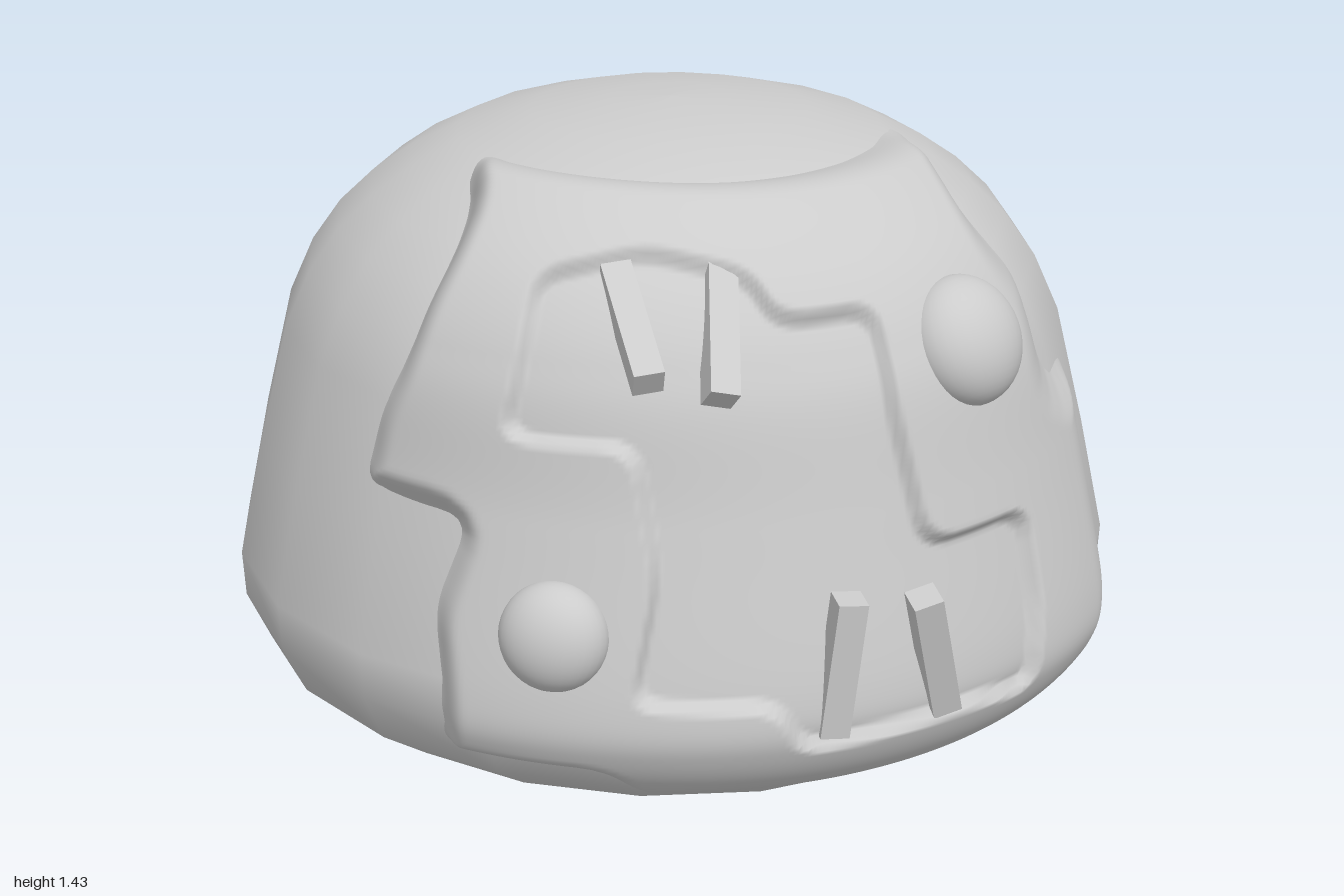
import * as THREE from 'three';

const V2 = (x, y) => new THREE.Vector2(x, y);
const { smoothstep, lerp } = THREE.MathUtils;
const CENTRE_Z = -0.035;
const material = new THREE.MeshStandardMaterial({ color: 0xcccccc });

// Half outline of the dome, radius and height, from bottom to top
const PROFILE = [[0, 0], [0.24, 0.012], [0.46, 0.047], [0.66, 0.1], [0.79, 0.165], [0.91, 0.25], [0.96, 0.36],
  [0.965, 0.46], [0.91, 0.71], [0.845, 0.97], [0.79, 1.09], [0.725, 1.18], [0.65, 1.25], [0.565, 1.308],
  [0.46, 1.36], [0.3, 1.404], [0.13, 1.424], [0, 1.428]].map(p => V2(...p));

// Edge of the raised front panel; its top and bottom fade out instead
const PANEL = [[-0.47, 1.5], [-0.47, 1.33], [-0.6, 1.16], [-0.71, 0.96], [-0.76, 0.79], [-0.58, 0.785],
  [-0.65, 0.6], [-0.645, 0.29], [-0.35, 0.285], [-0.27, 0.17], [-0.25, 0], [0.84, 0], [0.89, 0.45],
  [0.81, 0.92], [0.7, 0.95], [0.66, 1.14], [0.55, 1.27], [0.48, 1.5]];

// Edge of the sunken area in the panel
const RECESS = [[-0.43, 1.27], [-0.22, 1.315], [-0.02, 1.27], [0.02, 1.19], [0.23, 1.19], [0.25, 1.0], [0.31, 0.73],
  [0.56, 0.73], [0.59, 0.52], [0.575, 0.35], [0.4, 0.375], [0.02, 0.355], [-0.02, 0.46], [-0.31, 0.47],
  [-0.25, 0.72], [-0.28, 0.97], [-0.52, 0.97]];

// Closed outline with rounded corners
function roundedOutline(list, radius) {
  const path = new THREE.Path();
  const n = list.length;
  list.forEach((corner, i) => {
    const c = V2(...corner);
    const toward = j => {
      const d = V2(...list[(j + n) % n]).sub(c);
      return d.setLength(Math.min(radius, d.length() * 0.45)).add(c);
    };
    const a = toward(i - 1), b = toward(i + 1);
    if (i === 0) path.moveTo(a.x, a.y); else path.lineTo(a.x, a.y);
    path.quadraticCurveTo(c.x, c.y, b.x, b.y);
  });
  path.closePath();
  return path.getPoints(4);
}

// Distance to an outline, positive inside
function insideDistance(outline, x, y) {
  let best = Infinity, inside = false;
  for (let i = 0, j = outline.length - 1; i < outline.length; j = i++) {
    const a = outline[j], b = outline[i];
    const dx = b.x - a.x, dy = b.y - a.y;
    const t = Math.min(1, Math.max(0, ((x - a.x) * dx + (y - a.y) * dy) / (dx * dx + dy * dy || 1)));
    best = Math.min(best, Math.hypot(x - a.x - t * dx, y - a.y - t * dy));
    if ((a.y > y) !== (b.y > y) && x < a.x + (y - a.y) / dy * dx) inside = !inside;
  }
  return inside ? best : -best;
}

// Panel that follows the dome, raised inside its edge and sunk again in the recess
function panelGeometry() {
  const geometry = new THREE.PlaneGeometry(1, 1, 240, 190);
  const pos = geometry.attributes.position, uv = geometry.attributes.uv;
  const curve = new THREE.SplineCurve(PROFILE);
  const edge = roundedOutline(PANEL, 0.05), recess = roundedOutline(RECESS, 0.06);
  for (let i = 0; i < pos.count; i++) {
    const angle = lerp(-1.15, 1.35, uv.getX(i));
    const u = lerp(0.24, 0.93, uv.getY(i));
    const p = curve.getPointAt(u), t = curve.getTangentAt(u);
    const s = Math.sin(angle), c = Math.cos(angle);
    const x = p.x * s;
    const at = d => [(p.x + t.y * d) * s, p.y - t.x * d, (p.x + t.y * d) * c + CENTRE_Z];
    const left = 1 - smoothstep(x, -0.45, 0.2);
    const raise = 0.04 + smoothstep(p.y, 0.8, 1.25) * (0.02 + 0.035 * left);
    const soft = 0.06 + 0.08 * smoothstep(x, 0.1, 0.6);
    const side = smoothstep(insideDistance(edge, x, p.y), -0.02, soft);
    const top = smoothstep(p.x, 0.4, 0.56);
    const bottom = smoothstep(p.y, 0.1, 0.4);
    let d = lerp(-0.025, raise, side * top * bottom);
    const q = at(d);
    d -= 0.03 * smoothstep(insideDistance(recess, q[0], q[1]), -0.005, 0.012);
    pos.setXYZ(i, ...at(d));
  }
  geometry.computeVertexNormals();
  return geometry;
}

export function createModel() {
  const group = new THREE.Group();
  const add = (name, geometry) => {
    const mesh = new THREE.Mesh(geometry, material);
    mesh.name = name;
    group.add(mesh);
    return mesh;
  };

  // Twenty-sided dome
  add('body', new THREE.LatheGeometry(PROFILE, 20)).position.z = CENTRE_Z;
  add('frontPanel', panelGeometry());

  // Flattened knobs, facing outward
  const knobs = [
    ['leftKnob', [0.43, 1.08, 0.675], [0.43, 0.4, 0.66], 0.134],
    ['rightKnob', [-0.44, 0.6, 0.83], [-0.44, 0.15, 0.85], 0.11],
  ];
  for (const [name, at, facing, radius] of knobs) {
    const knob = add(name, new THREE.SphereGeometry(radius, 32, 20));
    knob.position.set(...at);
    knob.lookAt(at[0] + facing[0], at[1] + facing[1], at[2] + facing[2]);
    knob.scale.z = 0.72;
  }

  // Square bars standing out of the recess
  const bars = [
    ['upperRightBar', [-0.268, 1.26, 0.62], [-0.255, 1.11, 0.85]],
    ['upperLeftBar', [-0.07, 1.26, 0.65], [-0.115, 1.065, 0.85]],
    ['lowerRightBar', [0.095, 0.375, 0.92], [0.12, 0.67, 0.945]],
    ['lowerLeftBar', [0.34, 0.385, 0.88], [0.265, 0.665, 0.96]],
  ];
  for (const [name, from, to] of bars) {
    const a = new THREE.Vector3(...from), b = new THREE.Vector3(...to);
    const bar = add(name, new THREE.BoxGeometry(0.06, 0.06, a.distanceTo(b)));
    bar.position.copy(a).lerp(b, 0.5);
    bar.up.set(0, 0, 1);
    bar.lookAt(b);
  }
  return group;
}
